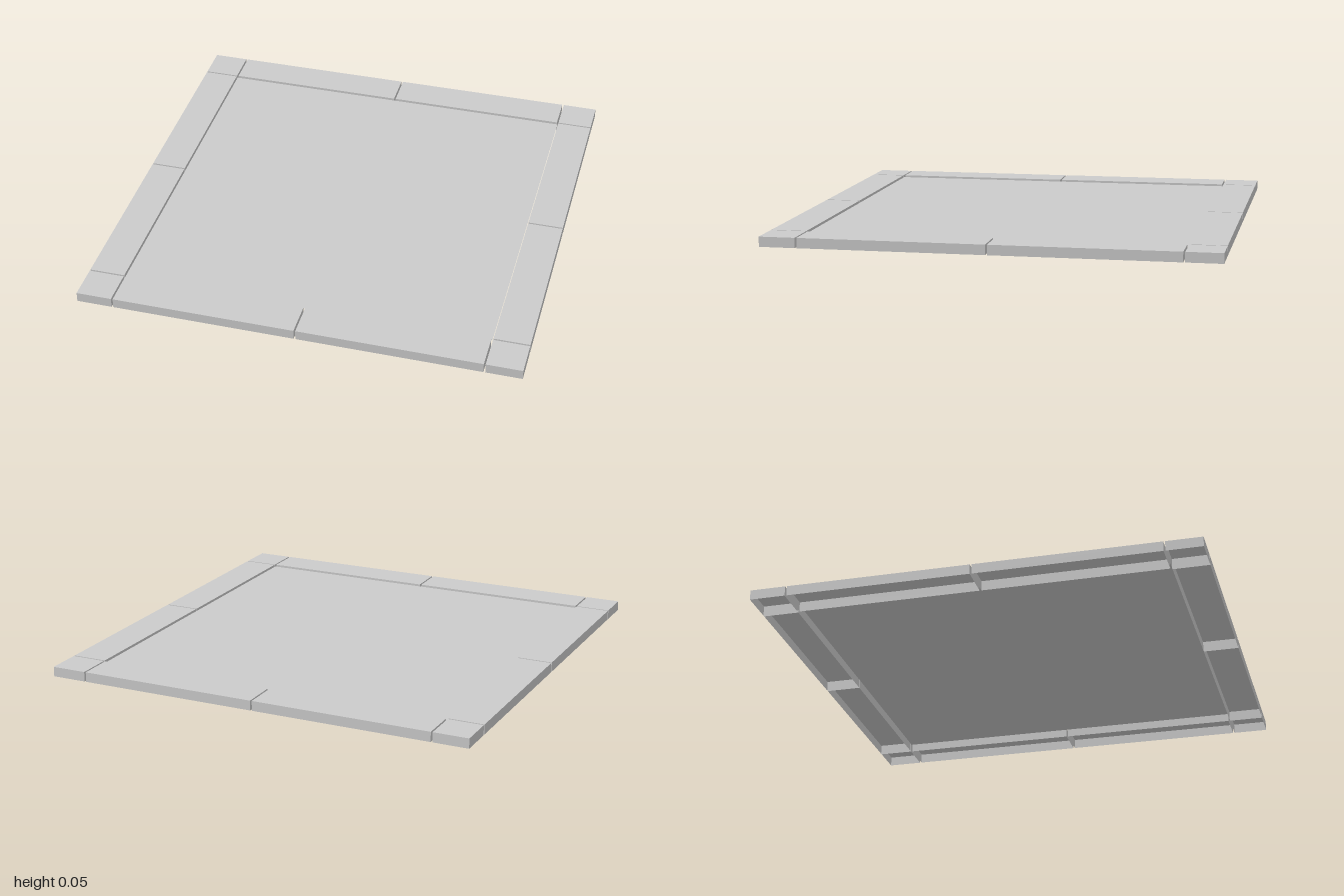
import * as THREE from 'three';

const HEIGHT = 0.045;   // border tile height
const PANEL_Y = 0.036;  // centre panel sits just below the border
const SEAM = 0.835;     // line between border and centre
const GAP = 0.004;      // half of a seam's width

const material = new THREE.MeshStandardMaterial({ color: 0xcccccc, side: THREE.DoubleSide });

// Thin-walled tile: a box without its bottom
function tile(name, x0, x1, z0, z1) {
  const geometry = new THREE.BoxGeometry(x1 - x0, HEIGHT, z1 - z0);
  const index = Array.from(geometry.index.array);
  index.splice(18, 6);
  geometry.setIndex(index);
  geometry.clearGroups();
  const mesh = new THREE.Mesh(geometry, material);
  mesh.name = name;
  mesh.position.set((x0 + x1) / 2, HEIGHT / 2, (z0 + z1) / 2);
  return mesh;
}

export function createModel() {
  const model = new THREE.Group();
  model.name = 'floorPlatform';

  // Each side: one corner tile and two long edge tiles, turned around the centre
  ['front', 'left', 'back', 'right'].forEach((sideName, i) => {
    const side = new THREE.Group();
    side.name = sideName + 'Border';
    const inner = SEAM + GAP, outer = SEAM - GAP;
    side.add(
      tile('cornerTile', -1, -inner, inner, 1),
      tile('edgeTileA', -outer, -GAP, inner, 1),
      tile('edgeTileB', GAP, outer, inner, 1)
    );
    side.rotation.y = i * Math.PI / 2;
    model.add(side);
  });

  // Flat centre panel
  const panel = new THREE.Mesh(new THREE.PlaneGeometry(2 * SEAM, 2 * SEAM), material);
  panel.name = 'centrePanel';
  panel.rotation.x = -Math.PI / 2;
  panel.position.y = PANEL_Y;
  model.add(panel);

  return model;
}
